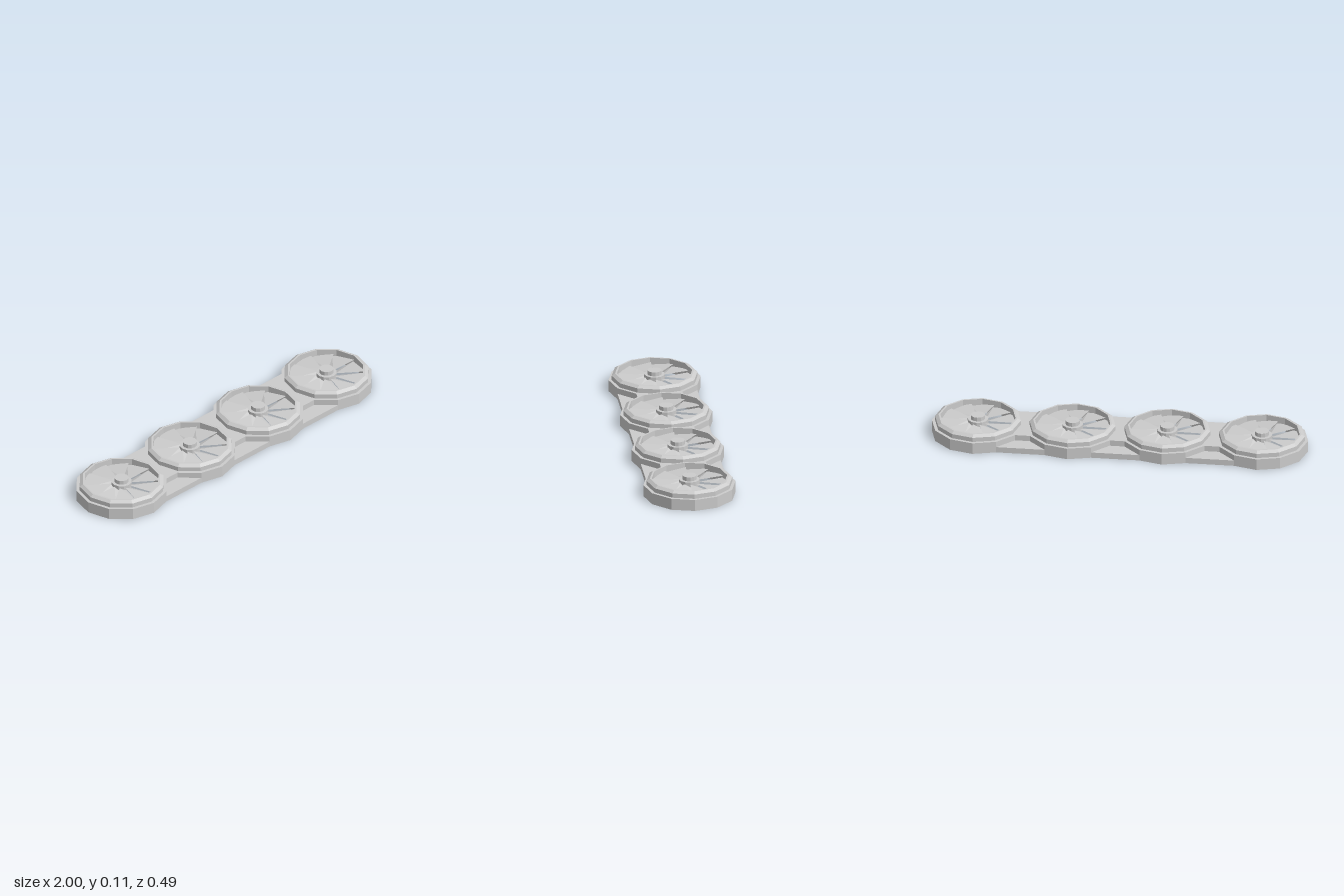
import * as THREE from 'three';

const material = new THREE.MeshStandardMaterial({ color: 0xcccccc, flatShading: true, side: THREE.DoubleSide });
const R = 0.245, HOLE = 0.2, SPACING = 0.503, SIDES = 12, BLADES = 10;
const FLOOR = 0.022, WEB = 0.031, STEP = 0.062;
const centres = [-1.5, -0.5, 0.5, 1.5].map(i => i * SPACING);

function add(parent, name, geometry, y = 0) {
  const mesh = new THREE.Mesh(geometry, material);
  mesh.name = name;
  mesh.position.y = y;
  parent.add(mesh);
  return mesh;
}

const lathe = (points) =>
  new THREE.LatheGeometry(points.map(([r, y]) => new THREE.Vector2(r, y)), SIDES);

const slab = (shape, depth) =>
  new THREE.ExtrudeGeometry(shape, { depth, bevelEnabled: false }).rotateX(-Math.PI / 2);

// Corners of a polygon arc, from facet index a to b
function arc(cx, r, a, b) {
  const points = [];
  for (let i = a; i <= b; i++) {
    const t = i * Math.PI * 2 / SIDES;
    points.push(new THREE.Vector2(cx + r * Math.cos(t), r * Math.sin(t)));
  }
  return points;
}

// Outline of the whole row: round ends, straight webs and corner points between
function outline(r) {
  return [
    ...arc(centres[3], r, -4, 4),
    ...arc(centres[2], r, 2, 4), ...arc(centres[1], r, 2, 4),
    ...arc(centres[0], r, 2, 10),
    ...arc(centres[1], r, 8, 10), ...arc(centres[2], r, 8, 10),
  ];
}

// Pitched blade: a flat sector sloping from one radial edge to the other
function bladeGeometry() {
  const half = Math.PI / BLADES * 1.08;
  const positions = [];
  for (const side of [-1, 1]) {
    for (const r of [0.05, 0.207]) {
      positions.push(Math.cos(half) * r, 0.066 - 0.007 * side, -Math.sin(half) * side * r);
    }
  }
  const g = new THREE.BufferGeometry();
  g.setAttribute('position', new THREE.Float32BufferAttribute(positions, 3));
  g.setIndex([0, 1, 3, 0, 3, 2]);
  g.computeVertexNormals();
  return g;
}

function createFan() {
  const fan = new THREE.Group();
  fan.name = 'fan';

  // Stepped housing with a bevelled rim and an open centre
  add(fan, 'housing', lathe([
    [HOLE, WEB], [R, WEB], [R, STEP], [0.228, STEP], [0.228, 0.086],
    [0.21, 0.098], [HOLE, 0.098], [HOLE, WEB],
  ]));

  // Hub, hollow underneath, with a raised cap
  add(fan, 'hub', lathe([
    [0, 0.083], [0.038, 0.083], [0.038, 0.054], [0.055, 0.054], [0.055, 0.086],
    [0.038, 0.086], [0.038, 0.108], [0, 0.108],
  ]));

  const blade = bladeGeometry();
  for (let i = 0; i < BLADES; i++) {
    add(fan, 'blade', blade).rotation.y = (i + 0.5) * Math.PI * 2 / BLADES;
  }
  return fan;
}

export function createModel() {
  const model = new THREE.Group();
  model.name = 'fanRow';

  // Thin lip around the recessed underside
  const lip = new THREE.Shape(outline(R));
  lip.holes.push(new THREE.Path(outline(R - 0.005)));
  add(model, 'lip', slab(lip, FLOOR));

  // Base plate with an opening for each fan
  const plate = new THREE.Shape(outline(R));
  for (const x of centres) plate.holes.push(new THREE.Path(arc(x, HOLE, 0, SIDES - 1)));
  add(model, 'basePlate', slab(plate, WEB - FLOOR), FLOOR);

  for (const x of centres) {
    const fan = createFan();
    fan.position.x = x;
    model.add(fan);
  }

  // Raised bridges between neighbouring housings
  const half = SPACING / 2;
  const bridge = slab(new THREE.Shape([...arc(-half, R, -1, 1).reverse(), ...arc(half, R, 5, 7).reverse()]), STEP - WEB);
  for (let i = -1; i <= 1; i++) {
    add(model, 'bridge', bridge, WEB).position.x = i * SPACING;
  }
  return model;
}
